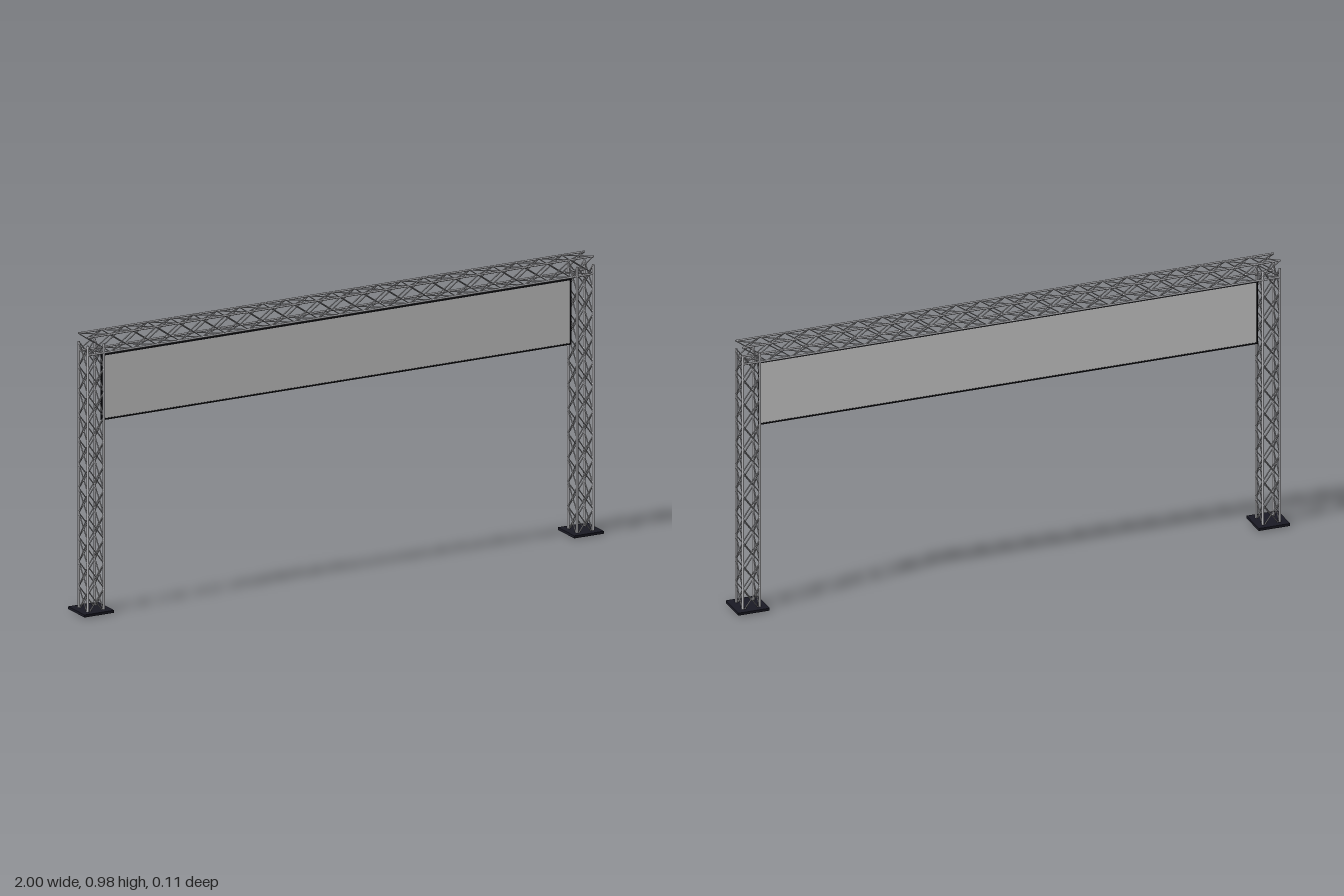
import * as THREE from 'three';
import { mergeGeometries } from 'three/addons/utils/BufferGeometryUtils.js';

const material = (name, color) => new THREE.MeshStandardMaterial({ name, color });

// Round bar between two points
function bar(a, b, radius, sides) {
  const dir = new THREE.Vector3().subVectors(b, a);
  const geo = new THREE.CylinderGeometry(radius, radius, dir.length(), sides);
  const turn = new THREE.Quaternion().setFromUnitVectors(new THREE.Vector3(0, 1, 0), dir.normalize());
  return geo.applyQuaternion(turn).translate((a.x + b.x) / 2, (a.y + b.y) / 2, (a.z + b.z) / 2);
}

// Square lattice truss standing on y = 0: four chords, crossed braces on each face
function makeTruss(name, length, half, cells, chordRadius, braceRadius, mat) {
  const chords = [], braces = [];
  const corners = [[1, 1], [-1, 1], [-1, -1], [1, -1]];
  const at = (i, y) => new THREE.Vector3(corners[i % 4][0] * half, y, corners[i % 4][1] * half);
  const step = length / cells;
  for (let i = 0; i < 4; i++) {
    chords.push(bar(at(i, 0), at(i, length), chordRadius, 10));
    for (let c = 0; c < cells; c++) {
      const y0 = c * step, y1 = y0 + step;
      braces.push(bar(at(i, y0), at(i + 1, y1), braceRadius, 6));
      braces.push(bar(at(i + 1, y0), at(i, y1), braceRadius, 6));
    }
  }
  const truss = new THREE.Group();
  truss.name = name;
  for (const [part, list] of [['chords', chords], ['braces', braces]]) {
    const mesh = new THREE.Mesh(mergeGeometries(list), mat);
    mesh.name = part;
    truss.add(mesh);
  }
  return truss;
}

export function createModel() {
  const model = new THREE.Group();
  model.name = 'trussArch';
  const metal = material('trussMetal', 0xc0c0c4);
  const baseDark = material('baseDark', 0x1a1a24);
  const frameDark = material('frameDark', 0x141418);
  const bannerLight = material('bannerLight', 0xe2e2e2);

  const box = (name, w, h, d, x, y, z, mat) => {
    const mesh = new THREE.Mesh(new THREE.BoxGeometry(w, h, d), mat);
    mesh.name = name;
    mesh.position.set(x, y, z);
    model.add(mesh);
  };

  // Posts on square base plates
  for (const [side, s] of [['left', 1], ['right', -1]]) {
    const post = makeTruss(side + 'Post', 0.947, 0.031, 11, 0.0043, 0.0021, metal);
    post.position.x = s * 0.942;
    model.add(post);
    box(side + 'BasePlate', 0.114, 0.009, 0.114, s * 0.943, 0.0065, 0, baseDark);
  }

  // Horizontal beam across the post tops
  const beam = makeTruss('beam', 1.95, 0.031, 22, 0.0034, 0.002, metal);
  beam.rotation.z = -Math.PI / 2;
  beam.position.set(-0.975, 0.945, 0);
  model.add(beam);

  // Banner panel with its thin frame
  const top = 0.9, bottom = 0.668, halfW = 0.905, t = 0.005;
  const mid = (top + bottom) / 2;
  box('bannerPanel', 2 * halfW - t, top - bottom - t, 0.004, 0, mid, 0, bannerLight);
  box('bannerFrameTop', 2 * halfW, t, 0.008, 0, top - t / 2, 0, frameDark);
  box('bannerFrameBottom', 2 * halfW, t, 0.008, 0, bottom + t / 2, 0, frameDark);
  for (const s of [1, -1]) {
    box(s > 0 ? 'bannerFrameLeft' : 'bannerFrameRight', t, top - bottom - 2 * t, 0.008,
      s * (halfW - t / 2), mid, 0, frameDark);
  }
  return model;
}
